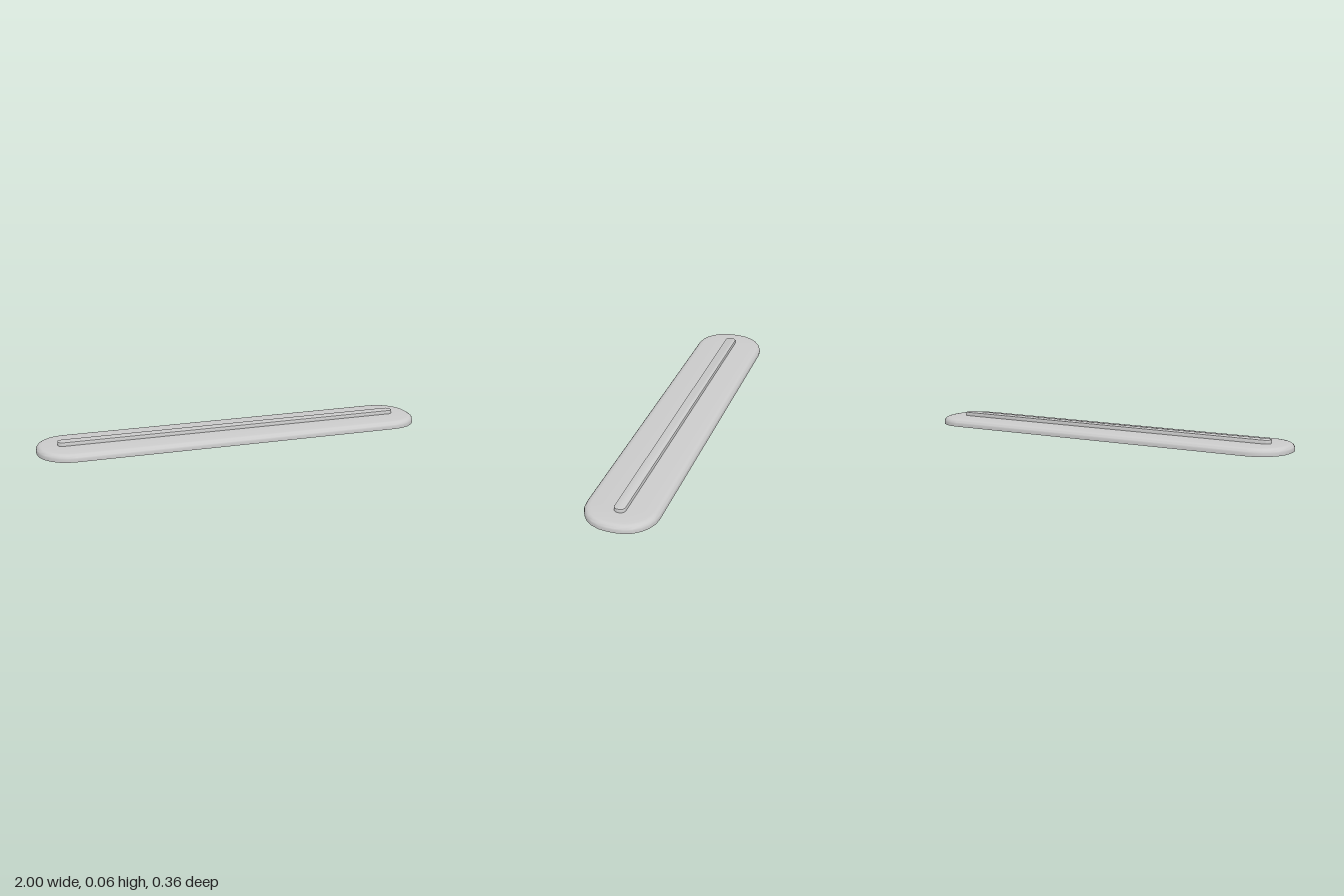
import * as THREE from 'three';
import { toCreasedNormals } from 'three/addons/utils/BufferGeometryUtils.js';

const CORNER_STEPS = 6;

// Rounded rectangle ring at height y, counter-clockwise seen from above
function ring(halfX, halfZ, radius, y) {
  const points = [];
  const signs = [[1, 1], [-1, 1], [-1, -1], [1, -1]];
  signs.forEach(([sx, sz], corner) => {
    for (let i = 0; i <= CORNER_STEPS; i++) {
      const a = (corner + i / CORNER_STEPS) * Math.PI / 2;
      points.push([
        sx * (halfX - radius) + radius * Math.cos(a),
        y,
        -sz * (halfZ - radius) - radius * Math.sin(a),
      ]);
    }
  });
  return points;
}

// Skin joining successive rings, with an optional flat cap on the last one
function loft(rings, capped) {
  const positions = [];
  const n = rings[0].length;
  const tri = (...corners) => corners.forEach((p) => positions.push(...p));
  for (let r = 0; r < rings.length - 1; r++) {
    const low = rings[r], high = rings[r + 1];
    for (let i = 0; i < n; i++) {
      const j = (i + 1) % n;
      tri(low[i], low[j], high[j]);
      tri(low[i], high[j], high[i]);
    }
  }
  if (capped) {
    const top = rings[rings.length - 1];
    for (let i = 1; i < n - 1; i++) tri(top[0], top[i], top[i + 1]);
  }
  const geometry = new THREE.BufferGeometry();
  geometry.setAttribute('position', new THREE.Float32BufferAttribute(positions, 3));
  return toCreasedNormals(geometry, 0.7);
}

export function createModel() {
  const group = new THREE.Group();
  group.name = 'ridgedCover';
  const material = new THREE.MeshStandardMaterial({ color: 0xcccccc, side: THREE.DoubleSide });
  const add = (name, geometry) => {
    const mesh = new THREE.Mesh(geometry, material);
    mesh.name = name;
    group.add(mesh);
  };

  const plateTop = 0.037;
  const ridge = (inset, y) => ring(0.897 - inset, 0.028 - inset, 0.024 - inset, y);

  // Shallow shell, open below, with a rounded rim and a slot under the ridge
  const rim = [[0, 0], [0, 0.015], [0.002, 0.022], [0.008, 0.03], [0.017, 0.035], [0.03, plateTop]];
  const plateRings = rim.map(([inset, y]) => ring(1 - inset, 0.178 - inset, 0.16 - inset, y));
  add('plate', loft([...plateRings, ridge(0, plateTop)], false));

  // Hollow raised ridge with softened top edge
  add('ridge', loft([
    ridge(0, plateTop), ridge(0, 0.053), ridge(0.001, 0.055), ridge(0.004, 0.056),
  ], true));

  return group;
}
